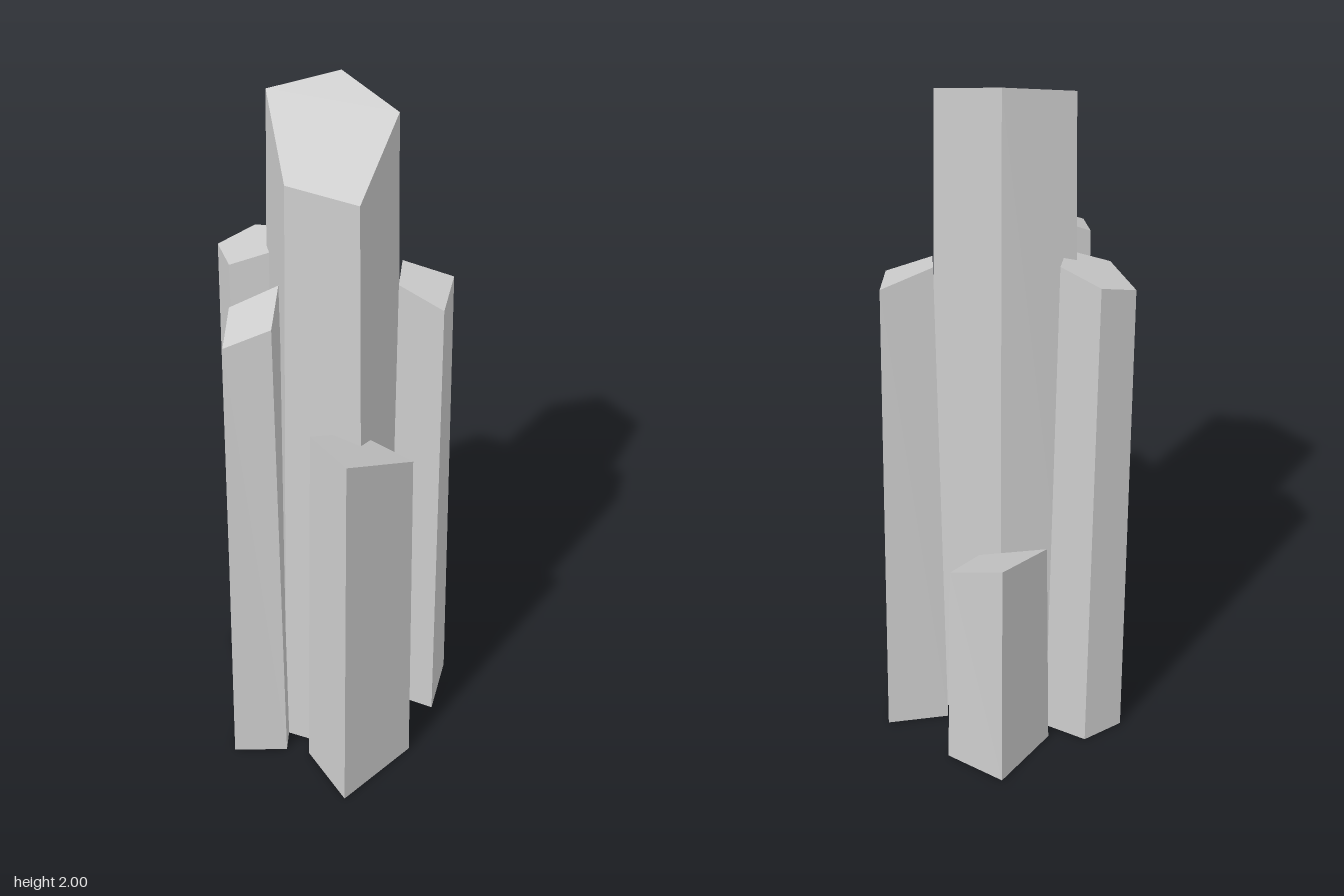
import * as THREE from 'three';

// Each column: base ring and top ring as [x, z] corners (clockwise seen from above),
// and a slanted cut y = h + sx * x + sz * z
const COLUMNS = [
  {
    name: 'centerColumn',
    base: [[-0.115, -0.264], [0.11, -0.198], [0.198, 0.024], [-0.03, 0.242], [-0.198, 0.066]],
    top: [[-0.092, -0.217], [0.09, -0.167], [0.162, 0.012], [-0.025, 0.185], [-0.158, 0.044]],
    cut: [1.91, 0.302, -0.387],
  },
  {
    name: 'backRightColumn',
    base: [[-0.194, -0.377], [-0.068, -0.371], [-0.009, -0.258], [-0.1, -0.165], [-0.215, -0.222]],
    top: [[-0.182, -0.363], [-0.076, -0.357], [-0.022, -0.26], [-0.102, -0.18], [-0.203, -0.23]],
    cut: [1.585, 0.33, 0.165],
  },
  {
    name: 'rightColumn',
    base: [[-0.285, -0.078], [-0.138, -0.022], [-0.223, 0.131], [-0.364, 0.069]],
    top: [[-0.273, -0.058], [-0.154, -0.016], [-0.227, 0.107], [-0.339, 0.058]],
    cut: [1.604, 0.495, -0.02],
  },
  {
    name: 'leftColumn',
    base: [[0.204, -0.063], [0.363, 0.013], [0.244, 0.161], [0.15, 0.05]],
    top: [[0.203, -0.032], [0.327, 0.024], [0.243, 0.131], [0.154, 0.046]],
    cut: [1.537, -0.239, -0.382],
  },
  {
    name: 'frontColumn',
    base: [[-0.17, 0.171], [0.003, 0.109], [0.107, 0.28], [-0.148, 0.375]],
    top: [[-0.157, 0.177], [0.004, 0.12], [0.092, 0.274], [-0.138, 0.356]],
    cut: [1.087, -0.442, 0.161],
  },
  {
    name: 'shortBackColumn',
    base: [[0.011, -0.3], [0.223, -0.367], [0.293, -0.199], [0.136, -0.126]],
    top: [[0.027, -0.295], [0.216, -0.355], [0.278, -0.2], [0.14, -0.138]],
    cut: [0.543, 0.085, -0.518],
  },
];

// Tapered prism with a flat base and a slanted top
function columnGeometry({ base, top, cut: [h, sx, sz] }) {
  const low = base.map(([x, z]) => [x, 0, z]);
  const high = top.map(([x, z]) => [x, h + sx * x + sz * z, z]);
  const n = low.length;
  const points = [];
  const tri = (a, b, c) => points.push(...a, ...b, ...c);
  for (let i = 0; i < n; i++) {
    const j = (i + 1) % n;
    tri(low[i], high[i], high[j]);
    tri(low[i], high[j], low[j]);
  }
  for (let i = 1; i < n - 1; i++) {
    tri(high[0], high[i + 1], high[i]);
    tri(low[0], low[i], low[i + 1]);
  }
  const geometry = new THREE.BufferGeometry();
  geometry.setAttribute('position', new THREE.Float32BufferAttribute(points, 3));
  geometry.computeVertexNormals();
  return geometry;
}

export function createModel() {
  const group = new THREE.Group();
  group.name = 'rockColumns';
  const stone = new THREE.MeshStandardMaterial({ color: 0xcccccc, flatShading: true });
  stone.name = 'pale grey stone';
  for (const column of COLUMNS) {
    const mesh = new THREE.Mesh(columnGeometry(column), stone);
    mesh.name = column.name;
    group.add(mesh);
  }
  return group;
}
